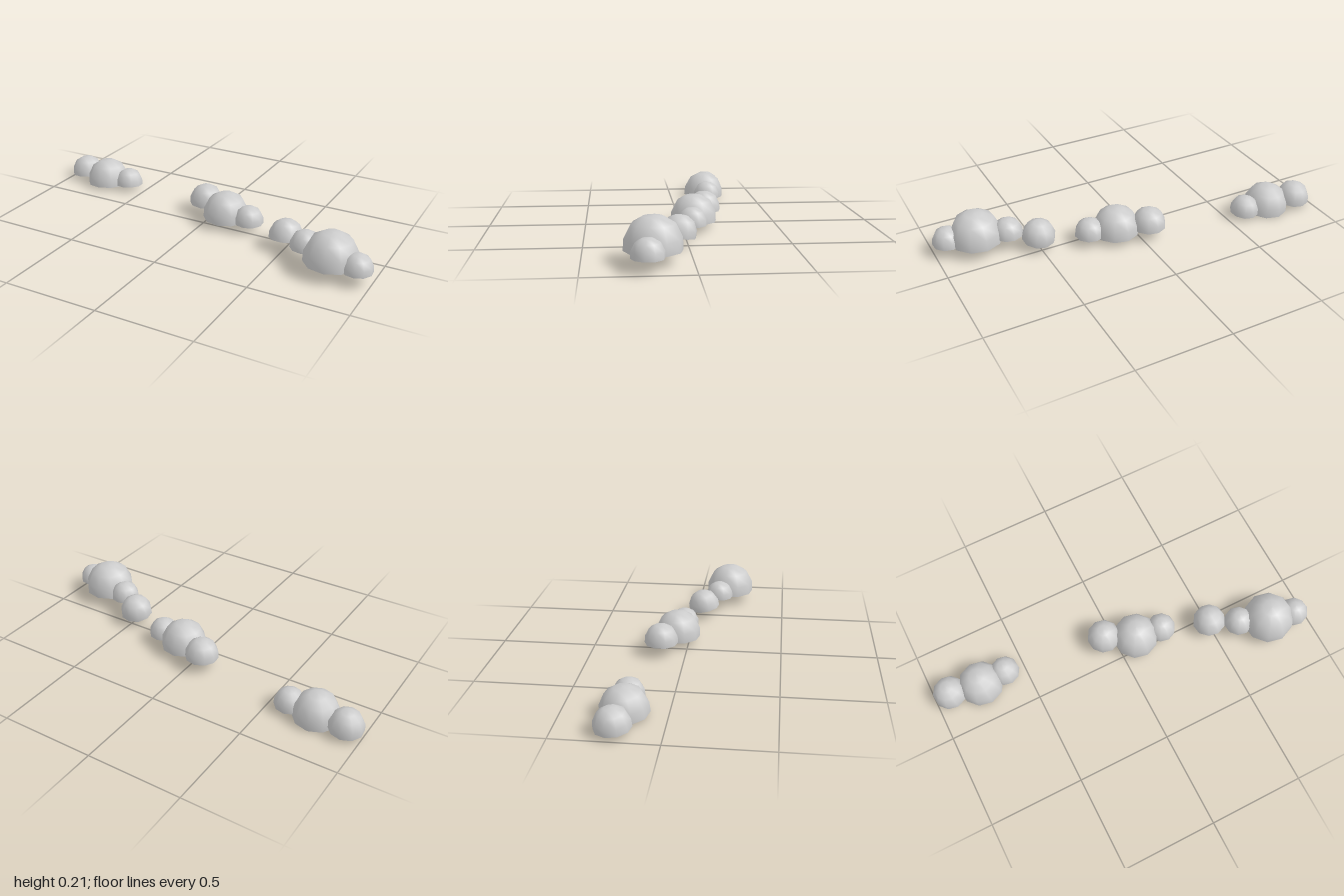
import * as THREE from 'three';

// Unit dome: ten-sided, open underneath, nearly flat cap
function domeGeometry() {
  const profile = [[1, 0], [0.98, 0.41], [0.74, 0.89], [0.35, 1.125], [0, 1.145]]
    .map(([r, y]) => new THREE.Vector2(r, y));
  return new THREE.LatheGeometry(profile, 10);
}

// Each puff: name, x, base y, z, radius, tilt x, tilt z
const clouds = {
  rightCloud: [
    ['outerPuff', -0.914, 0.026, -0.225, 0.088, -0.07, 0.05],
    ['mainPuff', -0.747, 0.01, -0.2, 0.118, -0.07, 0.04],
    ['innerPuff', -0.605, 0.025, -0.205, 0.077, -0.07, 0.04],
  ],
  middleCloud: [
    ['rightPuff', -0.053, 0.058, -0.13, 0.088, 0, 0],
    ['mainPuff', 0.104, 0.035, -0.06, 0.12, 0, 0],
    ['leftPuff', 0.248, 0.045, -0.04, 0.077, 0, 0],
  ],
  leftCloud: [
    ['trailingPuff', 0.497, 0.052, 0.048, 0.087, -0.18, 0.04],
    ['smallPuff', 0.632, 0.071, 0.125, 0.077, 0, 0],
    ['mainPuff', 0.785, 0.058, 0.18, 0.135, -0.01, 0],
    ['outerPuff', 0.928, 0.06, 0.21, 0.076, -0.01, 0],
  ],
};

export function createModel() {
  const model = new THREE.Group();
  model.name = 'clouds';
  const geometry = domeGeometry();
  const material = new THREE.MeshStandardMaterial({ color: 0xcccccc, side: THREE.DoubleSide });

  for (const [cloudName, puffs] of Object.entries(clouds)) {
    const cloud = new THREE.Group();
    cloud.name = cloudName;
    for (const [name, x, y, z, radius, tiltX, tiltZ] of puffs) {
      const puff = new THREE.Mesh(geometry, material);
      puff.name = name;
      puff.position.set(x, y, z);
      puff.rotation.set(tiltX, 0.1, tiltZ);
      puff.scale.setScalar(radius);
      cloud.add(puff);
    }
    model.add(cloud);
  }
  return model;
}
